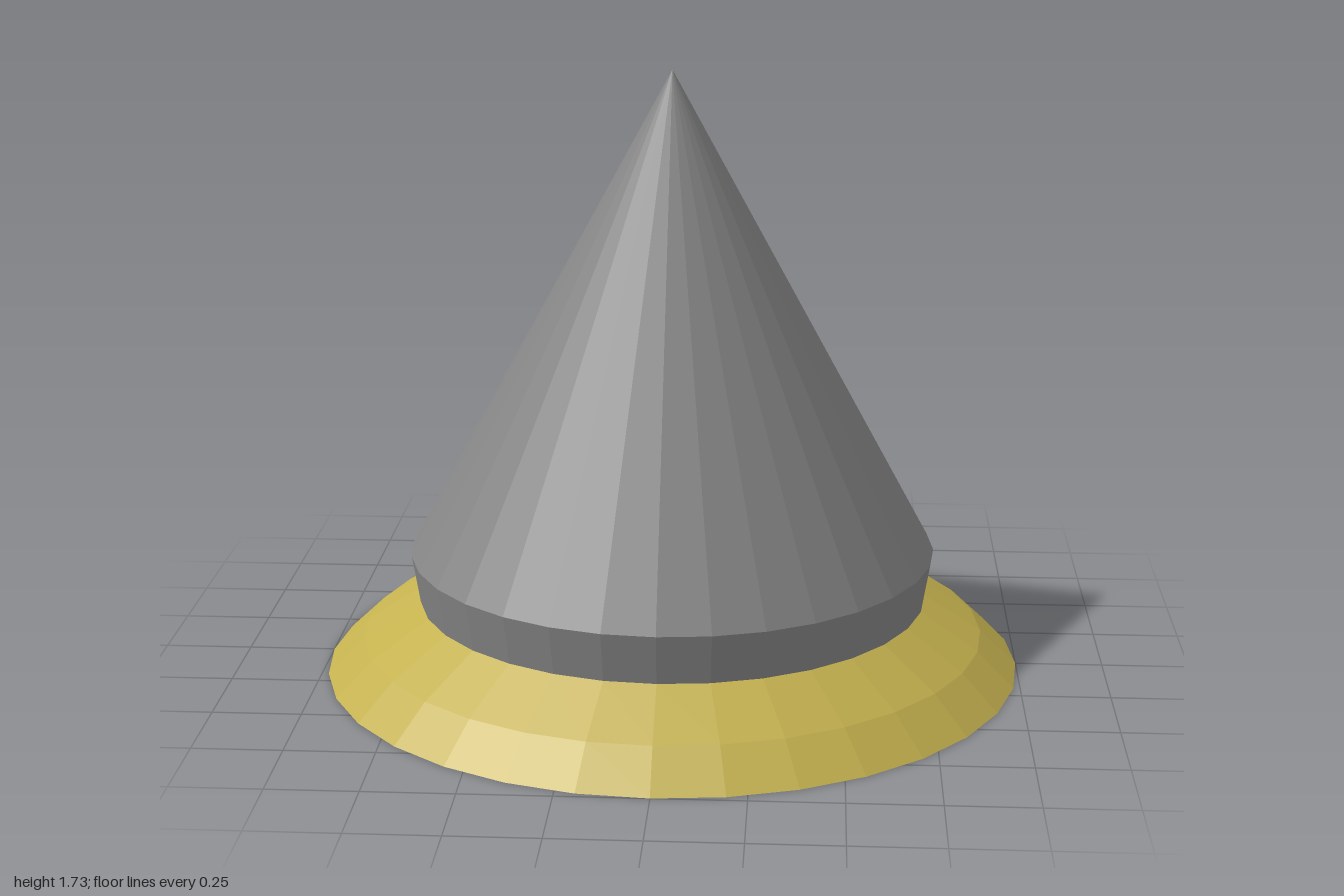
import * as THREE from 'three';

const SIDES = 32;

const yellow = new THREE.MeshStandardMaterial({ color: 0xc4b14f, flatShading: true });
yellow.name = 'mustard yellow';
const grey = new THREE.MeshStandardMaterial({ color: 0x868686, flatShading: true });
grey.name = 'mid grey';

// Revolve a bottom-to-top [radius, height] profile into a faceted part
function turned(name, profile, material) {
  const points = profile.map(([r, y]) => new THREE.Vector2(r, y));
  const mesh = new THREE.Mesh(new THREE.LatheGeometry(points, SIDES), material);
  mesh.name = name;
  return mesh;
}

export function createModel() {
  const model = new THREE.Group();
  model.name = 'coneOnBase';

  // Flared foot with a closed underside
  model.add(turned('flaredBase', [[0, 0], [1, 0], [0.895, 0.1], [0.73, 0.205]], yellow));

  // Collar that widens slightly towards the cone
  model.add(turned('collar', [[0.73, 0.205], [0.753, 0.345]], grey));

  // Pointed top
  model.add(turned('cone', [[0.753, 0.345], [0, 1.727]], grey));

  return model;
}
